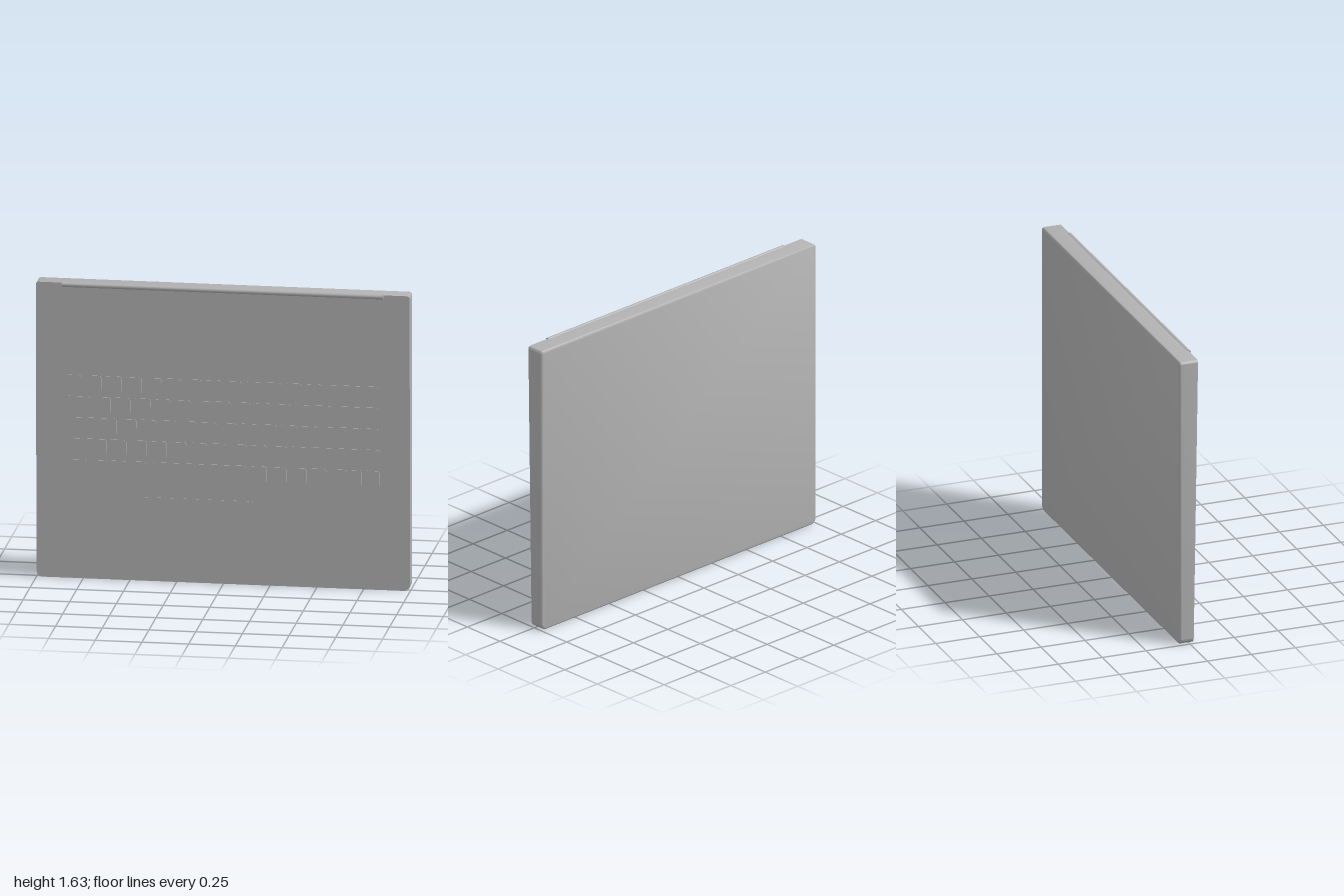
import * as THREE from 'three';
import { toCreasedNormals } from 'three/addons/utils/BufferGeometryUtils.js';

const HEIGHT = 1.623, BACK = -0.06, FRONT_LOW = 0.02, FRONT_HIGH = 0.045;

// Rounded rectangle with separate radii for lower and upper corners
function roundedRect(x0, y0, x1, y1, low, high) {
  const s = new THREE.Shape();
  s.absarc(x1 - low, y0 + low, low, -Math.PI / 2, 0);
  s.absarc(x1 - high, y1 - high, high, 0, Math.PI / 2);
  s.absarc(x0 + high, y1 - high, high, Math.PI / 2, Math.PI);
  s.absarc(x0 + low, y0 + low, low, Math.PI, Math.PI * 1.5);
  s.closePath();
  return s;
}

// Wedge-shaped case: rounded back edge, flat sloping front
function caseGeometry() {
  const bevel = 0.012;
  const geo = new THREE.ExtrudeGeometry(roundedRect(-1, 0, 1, HEIGHT, 0.035, 0.015), {
    depth: 0.08, bevelEnabled: true, bevelThickness: bevel, bevelSize: bevel,
    bevelOffset: -bevel, bevelSegments: 4, curveSegments: 8,
  });
  geo.translate(0, 0, BACK + bevel);
  const p = geo.attributes.position;
  for (let i = 0; i < p.count; i++) {
    if (p.getZ(i) > 0) {
      p.setZ(i, FRONT_LOW + (FRONT_HIGH - FRONT_LOW) * p.getY(i) / HEIGHT);
    }
  }
  return toCreasedNormals(geo, 0.6);
}

export function createModel() {
  const model = new THREE.Group();
  model.name = 'laptopBase';
  const grey = new THREE.MeshStandardMaterial({ color: 0xb2b2b2 });
  grey.name = 'casing grey';

  const add = (parent, name, geo) => {
    const mesh = new THREE.Mesh(geo, grey);
    mesh.name = name;
    parent.add(mesh);
    return mesh;
  };

  add(model, 'case', caseGeometry());

  // Hinge bar along the upper front edge
  const hinge = add(model, 'hingeBar', new THREE.CylinderGeometry(0.013, 0.013, 1.72, 20));
  hinge.rotation.z = Math.PI / 2;
  hinge.position.set(0, 1.614, 0.046);

  // Sloping deck that carries the keys and touchpad
  const deck = new THREE.Group();
  deck.name = 'deck';
  deck.position.z = FRONT_LOW;
  deck.rotation.x = Math.atan((FRONT_HIGH - FRONT_LOW) / HEIGHT);
  model.add(deck);

  const plate = (name, x0, y0, x1, y1, radius, rise) => {
    const geo = new THREE.ExtrudeGeometry(roundedRect(x0, y0, x1, y1, radius, radius), {
      depth: rise + 0.004, bevelEnabled: false, curveSegments: 3,
    });
    geo.translate(0, 0, -0.004);
    add(deck, name, toCreasedNormals(geo, 0.6));
  };

  // Each row: bottom edge, wide keys, then a run of equal keys (start x, count)
  const KEY_W = 0.087, KEY_H = 0.093, PITCH = 0.1072;
  const rows = [
    { y: 1.025, wide: [[-0.835, -0.759], [0.546, 0.742], [0.76, 0.836]], start: -0.738, count: 12 },
    { y: 0.909, wide: [[-0.835, -0.711], [0.599, 0.742], [0.76, 0.836]], start: -0.69, count: 12 },
    { y: 0.793, wide: [[-0.835, -0.679], [0.519, 0.742], [0.76, 0.836]], start: -0.658, count: 11 },
    { y: 0.677, wide: [[-0.835, -0.625], [0.465, 0.742], [0.76, 0.842]], start: -0.605, count: 10 },
    { y: 0.561, wide: [[-0.835, -0.729], [-0.385, 0.123], [0.76, 0.836]], start: -0.711, count: 3 },
    { y: 0.561, wide: [], start: 0.144, count: 6 },
  ];
  for (const { y, wide, start, count } of rows) {
    for (const [x0, x1] of wide) plate('wideKey', x0, y, x1, y + KEY_H, 0.012, 0.004);
    for (let i = 0; i < count; i++) {
      const x = start + i * PITCH;
      plate('key', x, y, Math.min(x + KEY_W, 0.742), y + KEY_H, 0.012, 0.004);
    }
  }

  plate('touchpad', -0.428, 0.083, 0.16, 0.46, 0.01, 0.002);
  return model;
}
